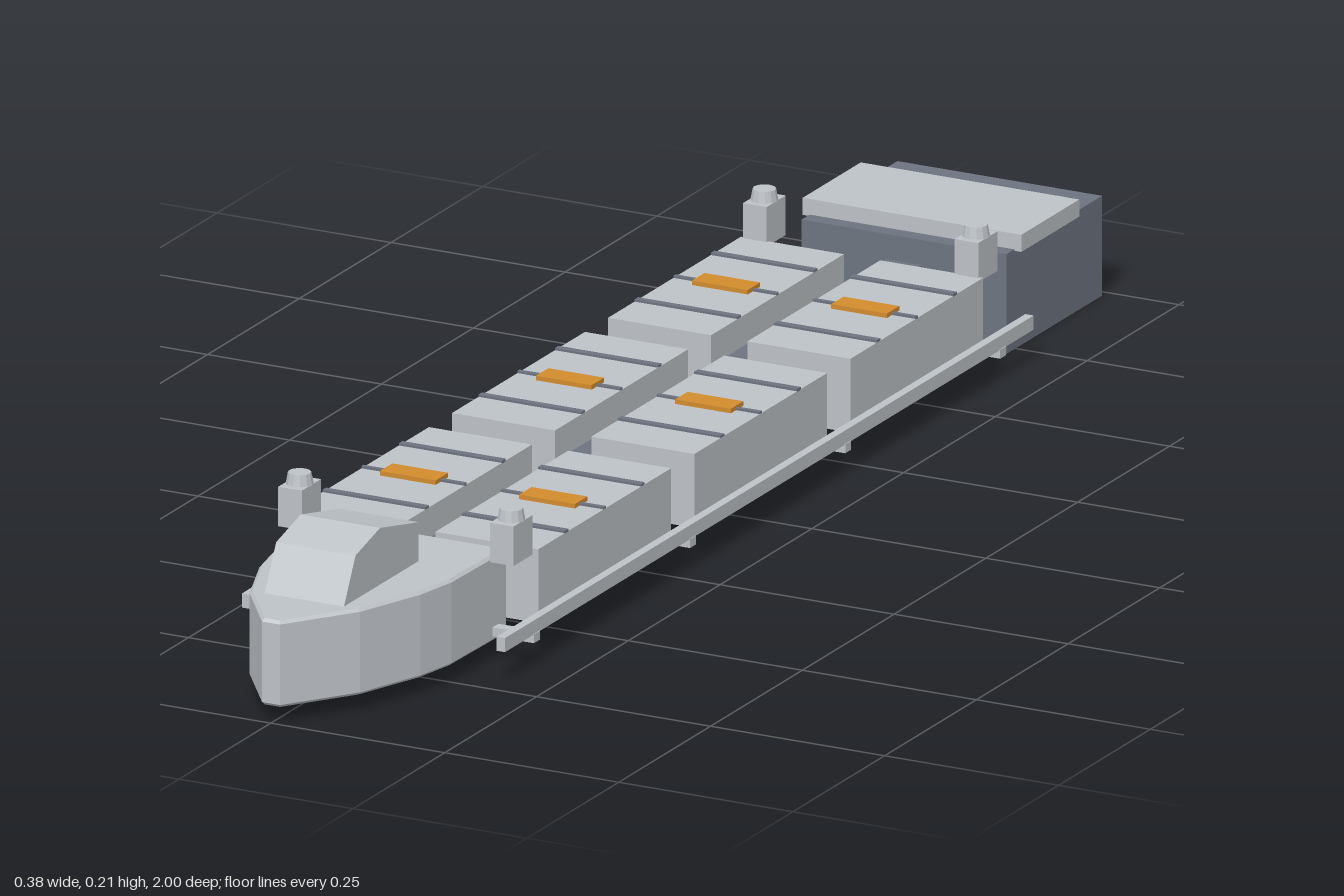
import * as THREE from 'three';

export function createModel() {
  const model = new THREE.Group();
  const mat = (name, color, extra = {}) => {
    const m = new THREE.MeshStandardMaterial({ color, ...extra });
    m.name = name;
    return m;
  };
  const light = mat('light hull grey', 0xbec3c8, { flatShading: true });
  const dark = mat('dark machinery grey', 0x6e7480, { flatShading: true });
  const ring = mat('nozzle grey', 0xa6abb2, { side: THREE.DoubleSide });
  const orange = mat('hatch orange', 0xd28c2d, { flatShading: true });

  const add = (name, geometry, material, parent = model) => {
    const mesh = new THREE.Mesh(geometry, material);
    mesh.name = name;
    parent.add(mesh);
    return mesh;
  };
  // Box given by its limits on each axis
  const box = (name, [x0, x1], [y0, y1], [z0, z1], material, parent) => {
    const mesh = add(name, new THREE.BoxGeometry(x1 - x0, y1 - y0, z1 - z0), material, parent);
    mesh.position.set((x0 + x1) / 2, (y0 + y1) / 2, (z0 + z1) / 2);
    return mesh;
  };

  // Bow hull: plan outline extruded upwards with a small bevel
  const half = [[0.127, 0.612], [0.124, 0.75], [0.112, 0.81], [0.076, 0.905], [0.011, 0.995]];
  const outline = [...half, ...half.map(([x, z]) => [-x, z]).reverse()];
  const hullShape = new THREE.Shape(outline.map(([x, z]) => new THREE.Vector2(x, -z)));
  const hullGeo = new THREE.ExtrudeGeometry(hullShape, {
    depth: 0.108, bevelEnabled: true, bevelSize: 0.004, bevelThickness: 0.004, bevelSegments: 1,
  });
  hullGeo.rotateX(-Math.PI / 2).translate(0, 0.026, 0);
  add('bowHull', hullGeo, light);

  // Bridge cabin: side profile extruded across the width
  const cabinShape = new THREE.Shape([
    [-0.91, 0.135], [-0.877, 0.197], [-0.81, 0.214], [-0.705, 0.19], [-0.705, 0.135],
  ].reverse().map(([z, y]) => new THREE.Vector2(z, y)));
  const cabinGeo = new THREE.ExtrudeGeometry(cabinShape, { depth: 0.114, bevelEnabled: false });
  cabinGeo.translate(0, 0, -0.057).rotateY(Math.PI / 2);
  add('bridgeCabin', cabinGeo, light);

  // Central spine
  box('spine', [-0.026, 0.026], [0.032, 0.1], [-0.73, 0.615], dark);

  // Cross beams and side rails
  for (const z of [-0.635, -0.213, 0.21, 0.635]) {
    box('crossBeam', [-0.19, 0.19], [0.03, 0.042], [z - 0.008, z + 0.008], light);
  }
  for (const s of [-1, 1]) {
    const rail = box('sideRail', [-0.006, 0.006], [0.041, 0.06], [-0.72, 0.72], light);
    rail.position.x = s * 0.183;
  }

  // Cargo containers with roof ribs and hatches
  for (const z of [-0.43, -0.005, 0.42]) {
    for (const s of [-1, 1]) {
      const cargo = new THREE.Group();
      cargo.name = 'cargoContainer';
      cargo.position.set(s * 0.1, 0, z);
      model.add(cargo);
      box('containerBody', [-0.074, 0.074], [0.042, 0.141], [-0.181, 0.181], light, cargo);
      for (const rz of [-0.104, 0, 0.104]) {
        const w = rz === 0 ? 0.003 : 0.005;
        box('roofRib', [-0.074, 0.074], [0.14, 0.144], [rz - w, rz + w], dark, cargo);
      }
      box('roofHatch', [-0.04, 0.04], [0.14, 0.147], [-0.017, 0.017], orange, cargo);
    }
  }

  // Corner turrets
  for (const sx of [-1, 1]) {
    for (const sz of [-1, 1]) {
      const turret = new THREE.Group();
      turret.name = 'cornerTurret';
      turret.position.set(sx * 0.152, 0, sz * 0.633);
      model.add(turret);
      box('turretBase', [-0.017, 0.017], [0.135, 0.188], [-0.026, 0.026], light, turret);
      const cap = add('turretCap', new THREE.CylinderGeometry(0.015, 0.018, 0.016, 12), light, turret);
      cap.position.y = 0.195;
    }
  }

  // Engine block, its roof plate and three open nozzles
  box('engineBlock', [-0.147, 0.147], [0, 0.134], [-0.986, -0.725], dark);
  box('engineRoof', [-0.157, 0.157], [0.132, 0.155], [-0.905, -0.747], light);
  for (const x of [-0.093, 0, 0.093]) {
    const nozzle = add('engineNozzle', new THREE.CylinderGeometry(0.031, 0.031, 0.016, 24, 1, true), ring);
    nozzle.rotation.x = Math.PI / 2;
    nozzle.position.set(x, 0.068, -0.992);
  }

  return model;
}
